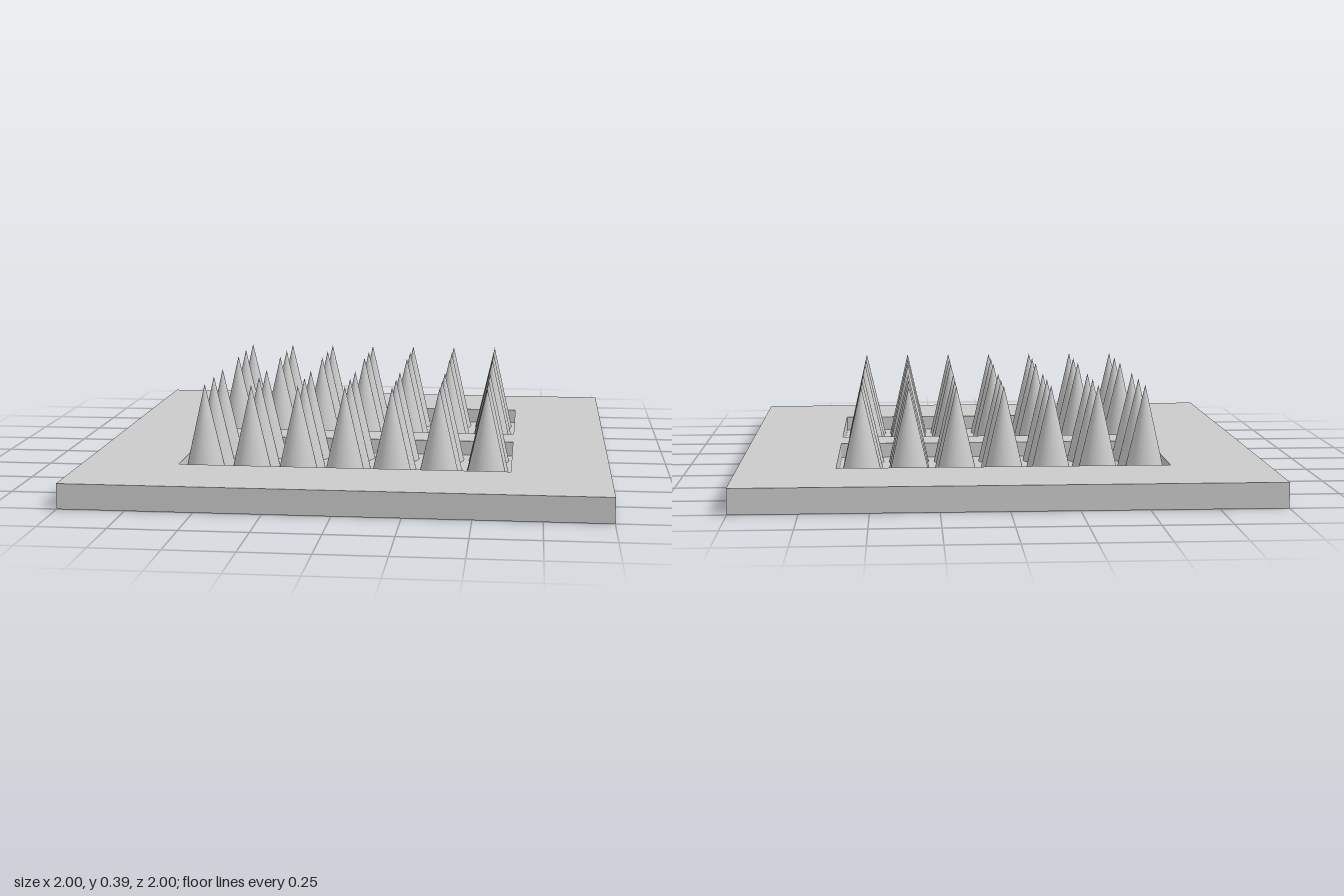
import * as THREE from 'three';

const SLAB_TOP = 0.095, PIT_FLOOR = 0.037, APEX = 0.39;
const PIT = { x: 0.63, near: 0.083, far: 0.633 };

// Flat panel in plan, extruded upward from y
function panel(shape, y, height, material, name) {
  const geometry = new THREE.ExtrudeGeometry(shape, { depth: height, bevelEnabled: false });
  geometry.rotateX(-Math.PI / 2);
  const mesh = new THREE.Mesh(geometry, material);
  mesh.position.y = y;
  mesh.name = name;
  return mesh;
}

function rectangle(Type, x0, y0, x1, y1) {
  return new Type([[x0, y0], [x1, y0], [x1, y1], [x0, y1]].map(([x, y]) => new THREE.Vector2(x, y)));
}

export function createModel() {
  const model = new THREE.Group();
  model.name = 'spikePitTrap';
  const material = new THREE.MeshStandardMaterial({ color: 0xcccccc });

  // Square slab with two rectangular pits, open at both ends
  const outline = rectangle(THREE.Shape, -1, -1, 1, 1);
  outline.holes.push(
    rectangle(THREE.Path, -PIT.x, PIT.near, PIT.x, PIT.far),
    rectangle(THREE.Path, -PIT.x, -PIT.far, PIT.x, -PIT.near));
  model.add(panel(outline, 0, SLAB_TOP, material, 'slab'));

  // Floors closing the pits from below
  const spikeGeometry = new THREE.ConeGeometry(0.08, APEX - PIT_FLOOR, 32, 1, true);
  for (const side of [-1, 1]) {
    const pit = new THREE.Group();
    pit.name = side > 0 ? 'frontPit' : 'backPit';
    const [z0, z1] = [PIT.near * side, PIT.far * side].sort((a, b) => a - b);
    pit.add(panel(rectangle(THREE.Shape, -PIT.x, -z1, PIT.x, -z0), 0, PIT_FLOOR, material, 'pitFloor'));

    // Three rows of seven spikes
    for (let row = 0; row < 3; row++) {
      for (let column = 0; column < 7; column++) {
        const spike = new THREE.Mesh(spikeGeometry, material);
        spike.name = 'spike';
        spike.position.set(
          -0.004 + (column - 3) * 0.18,
          (APEX + PIT_FLOOR) / 2,
          -0.002 + side * (0.178 + row * 0.181));
        pit.add(spike);
      }
    }
    model.add(pit);
  }
  return model;
}
